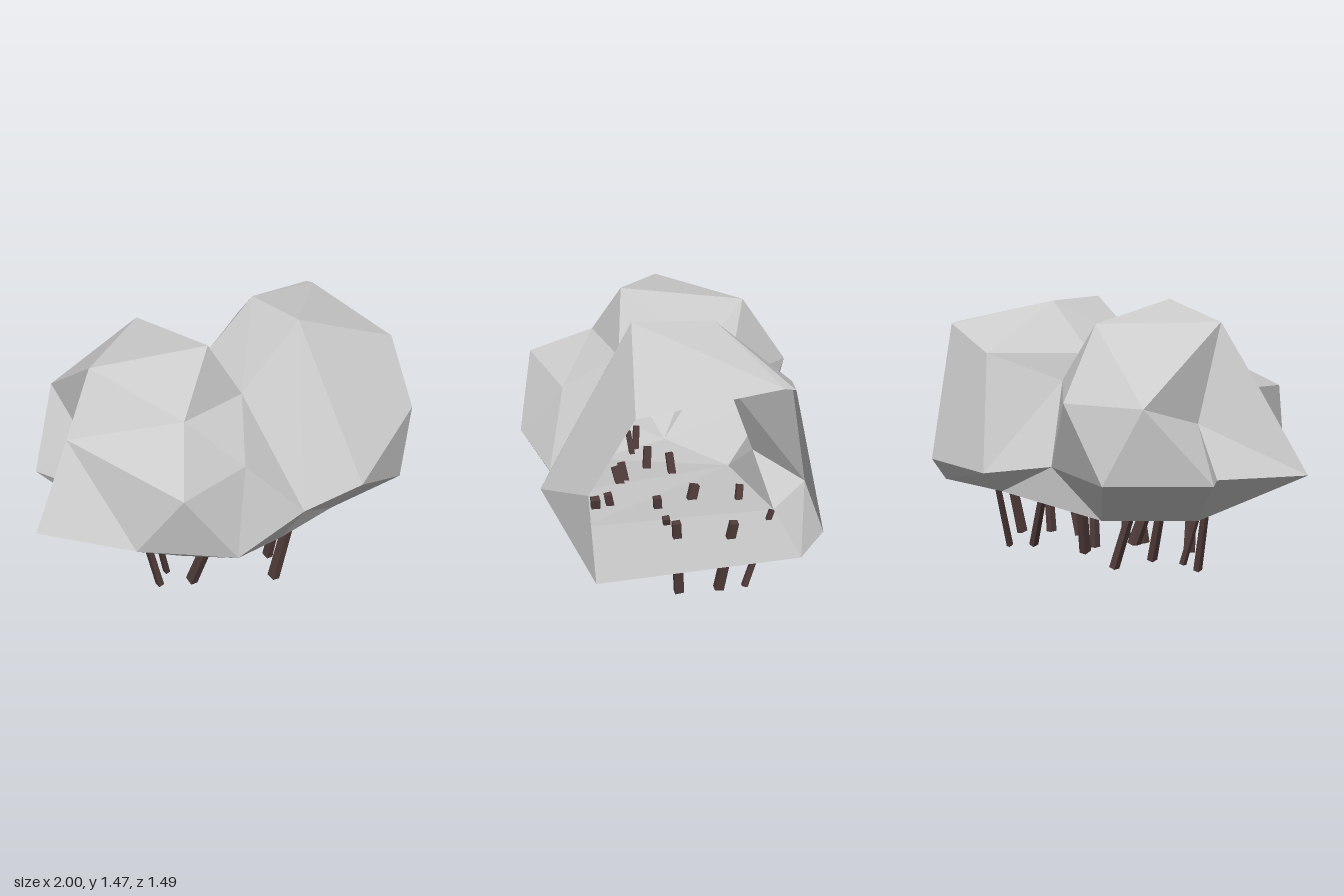
import * as THREE from 'three';
import { ConvexGeometry } from 'three/addons/geometries/ConvexGeometry.js';

const grey = new THREE.MeshStandardMaterial({ color: 0xcccccc, flatShading: true, side: THREE.DoubleSide });
const brown = new THREE.MeshStandardMaterial({ color: 0x503c3a, flatShading: true });

// Faceted shell: corners are joined by their directions from a centre, so
// shallow hollows are kept; faces lying wholly within the rim are left open.
function facetedShell(points, rim, centre) {
  const corners = [...rim, ...points].map(p => new THREE.Vector3(...p));
  const dirs = corners.map(c => c.clone().sub(centre).normalize());
  const pos = new ConvexGeometry(dirs).attributes.position;
  const v = new THREE.Vector3();
  const out = [];
  for (let i = 0; i < pos.count; i += 3) {
    const face = [0, 1, 2].map(k => {
      v.fromBufferAttribute(pos, i + k);
      let best = 0;
      dirs.forEach((d, n) => { if (d.distanceToSquared(v) < dirs[best].distanceToSquared(v)) best = n; });
      return best;
    });
    if (face.some(n => n >= rim.length)) face.forEach(n => out.push(...corners[n].toArray()));
  }
  return triangles(out);
}

// Open tube through cross-sections with equal corner counts;
// the first strip is split along the other diagonal
function loft(rings) {
  const n = rings[0].length, out = [];
  for (let r = 0; r < rings.length - 1; r++) {
    for (let i = 0; i < n; i++) {
      const j = (i + 1) % n;
      const a = rings[r][i], b = rings[r][j], c = rings[r + 1][j], d = rings[r + 1][i];
      if (i === 0) out.push(...a, ...d, ...b, ...d, ...c, ...b);
      else out.push(...a, ...d, ...c, ...a, ...c, ...b);
    }
  }
  return triangles(out);
}

function triangles(coords) {
  const geo = new THREE.BufferGeometry();
  geo.setAttribute('position', new THREE.Float32BufferAttribute(coords, 3));
  geo.computeVertexNormals();
  return geo;
}

// Thin tapered four-sided peg between two points
function peg(top, bottom, width) {
  const a = new THREE.Vector3(...top), b = new THREE.Vector3(...bottom);
  const axis = a.clone().sub(b);
  const geo = new THREE.CylinderGeometry(width * 0.65, width * 0.75, axis.length(), 4);
  geo.rotateY(Math.PI / 4).scale(1, 1, 1.25);
  const mesh = new THREE.Mesh(geo, brown);
  mesh.position.copy(a).add(b).multiplyScalar(0.5);
  mesh.quaternion.setFromUnitVectors(new THREE.Vector3(0, 1, 0), axis.normalize());
  return mesh;
}

export function createModel() {
  const model = new THREE.Group();
  model.name = 'facetedCanopy';

  // Shared seam of the two lobes, from front bottom over the top to back bottom
  const seam = [[0.13, 0.43, 0.56], [0.205, 0.615, 0.64], [0.085, 1.16, 0.25], [0.16, 1.18, -0.17],
    [0.27, 1.04, -0.27], [0.21, 0.61, -0.44], [-0.08, 0.36, -0.4]];

  // Rounded lobe, hollow and open towards the other lobe
  const rounded = new THREE.Mesh(facetedShell([
    // crown
    [-0.58, 1.36, -0.09], [-0.09, 1.46, 0.2], [-0.09, 1.35, -0.45], [-0.31, 1.17, 0.32],
    // shoulder
    [-0.76, 1.05, -0.03], [-0.53, 0.985, 0.64], [-0.09, 0.94, 0.52],
    [-0.09, 0.99, -0.7], [-0.52, 0.99, -0.66], [-0.56, 0.88, -0.26],
    // waist
    [-1, 0.63, 0.04], [-0.67, 0.63, 0.44], [-0.48, 0.63, 0.6], [-0.29, 0.615, 0.74],
    [-0.35, 0.63, -0.745], [-0.76, 0.63, -0.44], [-0.7, 0.63, -0.31],
    // underside
    [-0.48, 0.36, -0.12], [-0.33, 0.36, 0.32],
  ], seam, new THREE.Vector3(-0.3, 0.8, 0)), grey);
  rounded.name = 'roundedLobe';
  model.add(rounded);

  // Tunnel lobe, open at its outer end
  const tunnel = new THREE.Mesh(loft([
    seam,
    [[0.5, 0.445, 0.53], [0.52, 0.7, 0.72], [0.43, 1.47, 0.25], [0.44, 1.45, -0.14],
      [0.61, 1.18, -0.48], [0.52, 0.57, -0.62], [0.55, 0.44, -0.45]],
    [[1, 0.46, 0.54], [1, 0.92, 0.56], [1, 1.26, 0.35], [1, 1.33, -0.3],
      [1, 1.32, -0.35], [1, 0.58, -0.53], [1, 0.45, -0.43]],
  ]), grey);
  tunnel.name = 'tunnelLobe';
  model.add(tunnel);

  // Pegs: top x, top z, bottom x, bottom y, bottom z, width
  const pegs = new THREE.Group();
  pegs.name = 'pegs';
  [
    [-0.43, 0.06, -0.34, 0.02, 0.11, 0.03],
    [-0.38, 0.12, -0.27, 0.05, 0.07, 0.025],
    [-0.15, 0.36, -0.21, 0.07, 0.23, 0.04],
    [-0.17, 0.05, -0.05, 0.03, 0.1, 0.035],
    [-0.07, -0.05, 0.07, 0.01, -0.09, 0.035],
    [0.02, 0.27, 0.14, 0.07, 0.18, 0.04],
    [-0.02, 0.23, 0.11, 0.08, 0.17, 0.035],
    [0.32, 0.43, 0.22, 0.01, 0.41, 0.04],
    [0.29, 0.36, 0.27, 0.06, 0.29, 0.035],
    [0.3, -0.1, 0.35, 0.03, 0.01, 0.04],
    [0.35, -0.33, 0.5, 0.11, -0.26, 0.03],
    [0.58, 0.12, 0.44, 0.1, 0.07, 0.03],
    [0.38, 0.12, 0.34, 0.04, 0.09, 0.035],
    [0.63, -0.41, 0.67, 0.08, -0.27, 0.022],
    [0.77, -0.17, 0.71, 0.12, -0.12, 0.035],
    [0.71, 0.1, 0.65, 0.09, 0.07, 0.035],
  ].forEach(([tx, tz, bx, by, bz, w], i) => {
    const p = peg([tx, tx > 0.7 ? 0.54 : 0.49, tz], [bx, by, bz], w);
    p.name = 'peg' + (i + 1);
    pegs.add(p);
  });
  model.add(pegs);
  return model;
}
